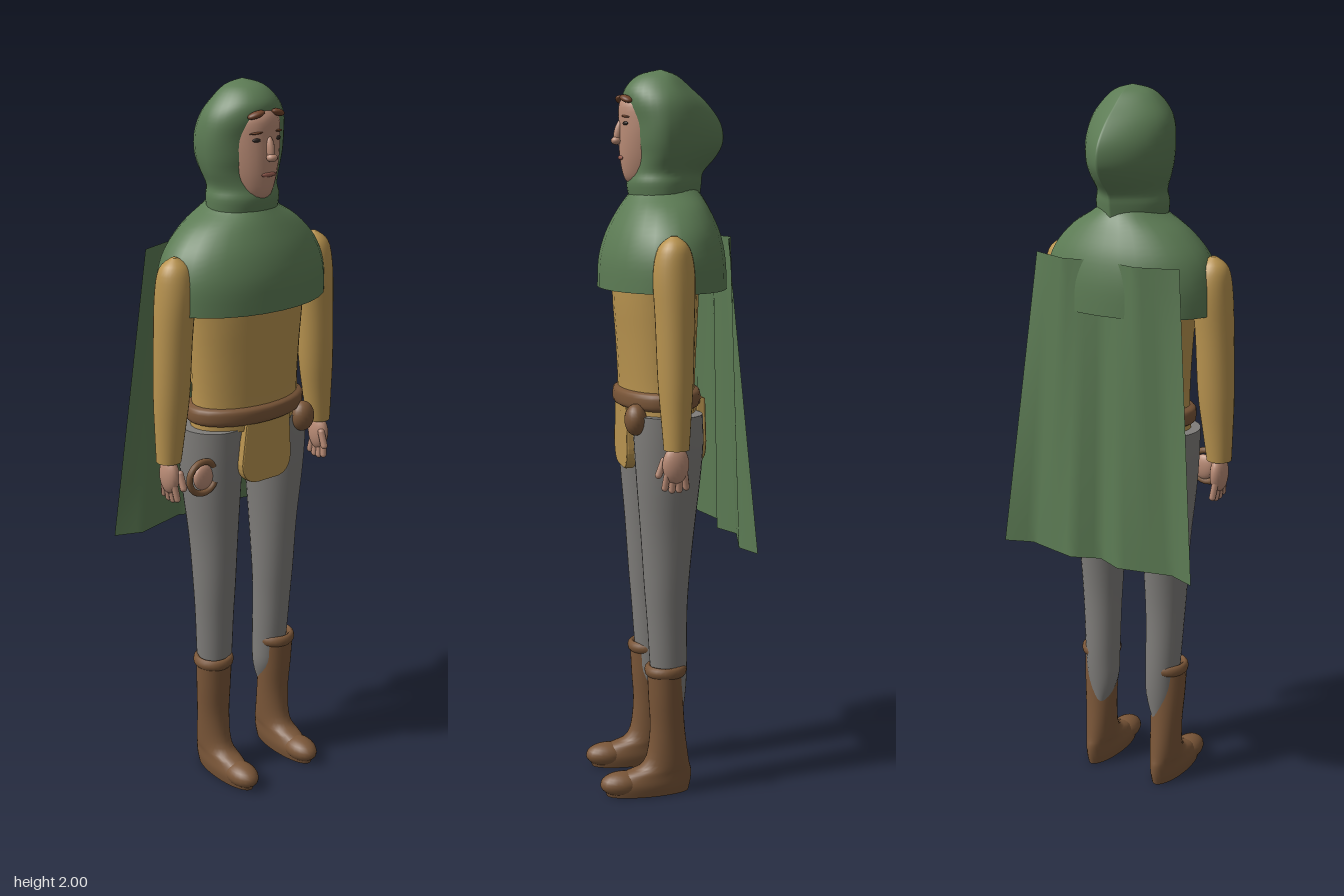
import * as THREE from 'three';

const mat = (name, color, side = THREE.FrontSide) => {
  const m = new THREE.MeshStandardMaterial({ color, side });
  m.name = name;
  return m;
};

// Smooth body lofted through sections [y, centreX, halfWidth, zFront, zBack], listed upward.
// pinch > 1 draws the back half to a ridge; zMid fixes where front and back halves meet.
function loft(sections, { segs = 28, sub = 4, pinch = 1, zMid = null, capBottom = true, capTop = true } = {}) {
  const cols = [0, 1, 2, 3, 4].map(c => new THREE.SplineCurve(sections.map((s, i) => new THREE.Vector2(i, s[c]))));
  const rows = (sections.length - 1) * sub;
  const pos = [], idx = [];
  const ring = r => {
    const [y, cx, rx, zf, zb] = cols.map(c => c.getPoint(r / rows).y);
    const zc = zMid === null ? (zf + zb) / 2 : zMid;
    for (let j = 0; j < segs; j++) {
      const a = j / segs * Math.PI * 2, c = Math.cos(a), s = Math.sin(a);
      const w = s < 0 ? Math.sign(c) * Math.pow(Math.abs(c), pinch) : c;
      pos.push(cx + rx * w, y, zc + (s > 0 ? (zf - zc) * s : (zc - zb) * s));
    }
    return [cx, y, zc];
  };
  for (let r = 0; r <= rows; r++) {
    ring(r);
    if (r === rows) break;
    for (let j = 0; j < segs; j++) {
      const a = r * segs + j, b = r * segs + (j + 1) % segs;
      idx.push(a, a + segs, b, b, a + segs, b + segs);
    }
  }
  const cap = (r, up) => {
    const start = pos.length / 3;
    pos.push(...ring(r));
    for (let j = 0; j < segs; j++) {
      const a = start + j, b = start + (j + 1) % segs;
      idx.push(start + segs, ...(up ? [b, a] : [a, b]));
    }
  };
  if (capBottom) cap(0, false);
  if (capTop) cap(rows, true);
  const g = new THREE.BufferGeometry();
  g.setAttribute('position', new THREE.Float32BufferAttribute(pos, 3));
  g.setIndex(idx);
  g.computeVertexNormals();
  return g;
}

export function createModel() {
  const green = mat('green cloth', 0x5c7b54, THREE.DoubleSide);
  const tan = mat('tan tunic', 0xb8934f);
  const grey = mat('grey trousers', 0x7f7d7a);
  const brown = mat('brown leather', 0x7a5638);
  const skin = mat('skin', 0xba8c76);
  const hair = mat('brow hair', 0x70432a);
  const dark = mat('dark eye', 0x2c2420);
  const lip = mat('lip', 0x9a5f52);

  const model = new THREE.Group();
  const add = (name, geo, material, p = [0, 0, 0], r = [0, 0, 0]) => {
    const m = new THREE.Mesh(geo, material);
    m.name = name;
    m.position.set(...p);
    m.rotation.set(...r);
    model.add(m);
    return m;
  };
  const ball = (name, material, p, s, r) =>
    add(name, new THREE.SphereGeometry(1, 20, 14), material, p, r).scale.set(...s);

  // Hood, pulled to a ridge at the back
  add('hood', loft([
    [1.66, 0, 0.1, 0.085, -0.11], [1.70, 0, 0.102, 0.092, -0.115], [1.73, 0, 0.097, 0.085, -0.12],
    [1.77, 0, 0.11, 0.08, -0.155], [1.81, 0, 0.119, 0.084, -0.175], [1.86, 0, 0.122, 0.088, -0.168],
    [1.91, 0, 0.114, 0.1, -0.132], [1.95, 0, 0.09, 0.096, -0.088], [1.985, 0, 0.052, 0.06, -0.045],
    [2.0, 0, 0.002, 0.002, -0.002],
  ], { segs: 36, pinch: 1.9, zMid: 0 }), green);

  // Face
  add('face', loft([
    [1.69, 0, 0.035, 0.07, -0.02], [1.71, 0, 0.056, 0.097, -0.03], [1.75, 0, 0.072, 0.109, -0.04],
    [1.80, 0, 0.082, 0.114, -0.04], [1.86, 0, 0.087, 0.114, -0.04], [1.91, 0, 0.08, 0.113, -0.04],
    [1.94, 0, 0.05, 0.092, -0.03],
  ], { zMid: 0 }), skin);
  ball('nose', skin, [0, 1.835, 0.115], [0.011, 0.034, 0.013], [-0.22, 0, 0]);
  ball('noseTip', skin, [0, 1.813, 0.122], [0.015, 0.011, 0.014]);
  ball('mouth', lip, [0, 1.768, 0.11], [0.024, 0.006, 0.005]);
  for (const s of [1, -1]) {
    ball('fringe', hair, [s * 0.036, 1.922, 0.102], [0.024, 0.009, 0.014], [0, s * 0.35, -s * 0.3]);
    ball('eyebrow', hair, [s * 0.037, 1.876, 0.104], [0.018, 0.003, 0.004], [0, s * 0.4, -s * 0.1]);
    ball('eye', dark, [s * 0.036, 1.858, 0.104], [0.011, 0.005, 0.004], [0, s * 0.4, 0]);
  }

  // Shoulder mantle, open at its hem
  add('shoulderMantle', loft([
    [1.42, 0, 0.256, 0.17, -0.175], [1.5, 0, 0.252, 0.166, -0.171], [1.57, 0, 0.226, 0.146, -0.157],
    [1.63, 0, 0.17, 0.115, -0.132], [1.67, 0, 0.105, 0.088, -0.11], [1.69, 0, 0.08, 0.072, -0.09],
  ], { capBottom: false }), green);

  // Hanging cloak: a folded sheet widening towards the hem
  const topFold = [-0.148, -0.156, -0.168, -0.15, -0.13], hemFold = [-0.165, -0.2, -0.183, -0.165, -0.196];
  const foldAt = (f, u) => {
    const k = Math.min(Math.abs(u) * 4, 3.999), i = Math.floor(k);
    return THREE.MathUtils.lerp(f[i], f[i + 1], k - i);
  };
  const cloak = new THREE.PlaneGeometry(2, 1, 32, 16);
  const cp = cloak.attributes.position;
  for (let i = 0; i < cp.count; i++) {
    const u = cp.getX(i), v = 0.5 - cp.getY(i);
    cp.setXYZ(i, u * (0.222 + 0.083 * v), 1.56 - 0.83 * v,
      THREE.MathUtils.lerp(foldAt(topFold, u), foldAt(hemFold, u), v));
  }
  cloak.computeVertexNormals();
  add('cloak', cloak, green);

  // Tunic, belt and pouch
  add('tunic', loft([
    [1.08, 0, 0.172, 0.115, -0.092], [1.16, 0, 0.166, 0.116, -0.09], [1.28, 0, 0.17, 0.122, -0.095],
    [1.4, 0, 0.178, 0.13, -0.1], [1.5, 0, 0.185, 0.125, -0.1], [1.58, 0, 0.14, 0.09, -0.08],
  ]), tan);
  add('belt', loft([
    [1.098, 0, 0.172, 0.118, -0.094], [1.108, 0, 0.184, 0.129, -0.104],
    [1.138, 0, 0.184, 0.129, -0.104], [1.148, 0, 0.168, 0.117, -0.092],
  ]), brown);
  ball('pouch', brown, [0.135, 1.076, 0.1], [0.035, 0.043, 0.03]);

  // Tunic flaps hanging between the legs, front and back
  const flap = new THREE.Shape();
  flap.moveTo(-0.07, 1.1);
  flap.lineTo(-0.085, 0.985);
  flap.quadraticCurveTo(-0.082, 0.93, -0.03, 0.928);
  flap.lineTo(0.04, 0.928);
  flap.quadraticCurveTo(0.08, 0.935, 0.08, 0.985);
  flap.lineTo(0.074, 1.1);
  const flapGeo = new THREE.ExtrudeGeometry(flap, {
    depth: 0.016, bevelThickness: 0.006, bevelSize: 0.004, bevelSegments: 2, curveSegments: 8,
  });
  add('frontFlap', flapGeo, tan, [0, 0, 0.092]);
  add('backFlap', flapGeo, tan, [0, 0.015, -0.088], [0, Math.PI, 0]);

  // Curved horn hung at the right hip
  add('horn', new THREE.TorusGeometry(0.045, 0.009, 10, 28, Math.PI * 1.65), brown, [-0.195, 0.967, 0.075], [0, 0, 0.6]);
  ball('hornMouth', skin, [-0.19, 0.965, 0.07], [0.032, 0.036, 0.014]);

  // Hips
  add('hips', loft([
    [0.93, 0, 0.05, 0.05, -0.05], [0.97, 0, 0.13, 0.085, -0.085],
    [1.03, 0, 0.185, 0.1, -0.095], [1.085, 0, 0.19, 0.105, -0.095],
  ]), grey);

  for (const s of [1, -1]) {
    const side = s > 0 ? 'left' : 'right';
    const limb = rows => loft(rows.map(([y, x, ...r]) => [y, s * x, ...r]));

    // Leg
    add(side + 'Leg', limb([
      [0.19, 0.1, 0.015, 0, -0.035], [0.27, 0.1, 0.044, 0.04, -0.046], [0.36, 0.103, 0.05, 0.052, -0.051],
      [0.5, 0.106, 0.055, 0.062, -0.05], [0.6, 0.107, 0.06, 0.07, -0.054], [0.75, 0.108, 0.067, 0.08, -0.068],
      [0.9, 0.112, 0.079, 0.092, -0.084], [1.0, 0.112, 0.086, 0.098, -0.092], [1.085, 0.11, 0.09, 0.1, -0.09],
    ]), grey);

    // Boot
    add(side + 'Boot', limb([
      [0, 0.112, 0.038, 0.18, -0.055], [0.03, 0.112, 0.043, 0.185, -0.062], [0.06, 0.112, 0.041, 0.14, -0.063],
      [0.09, 0.112, 0.042, 0.075, -0.056], [0.18, 0.113, 0.045, 0.056, -0.044],
      [0.28, 0.115, 0.05, 0.06, -0.037], [0.36, 0.116, 0.052, 0.064, -0.034],
    ]), brown);
    ball(side + 'Toe', brown, [s * 0.112, 0.034, 0.137], [0.041, 0.034, 0.062]);
    const cuff = add(side + 'Cuff', new THREE.TorusGeometry(0.048, 0.01, 10, 28), brown,
      [s * 0.115, 0.362, 0.012], [Math.PI / 2, 0, 0]);
    cuff.scale.set(1, 1.02, 1.6);

    // Sleeve
    add(side + 'Sleeve', limb([
      [1.015, 0.266, 0.034, 0.052, -0.016], [1.1, 0.26, 0.042, 0.058, -0.022], [1.2, 0.253, 0.05, 0.065, -0.029],
      [1.35, 0.246, 0.052, 0.07, -0.033], [1.47, 0.238, 0.053, 0.074, -0.036],
      [1.54, 0.237, 0.042, 0.06, -0.022], [1.57, 0.238, 0.008, 0.028, 0.01],
    ]), tan);

    // Hand
    ball(side + 'Palm', skin, [s * 0.266, 0.975, 0.02], [0.022, 0.052, 0.036]);
    for (let i = 0; i < 4; i++) {
      const z = -0.006 + i * 0.017;
      add(side + 'Finger', new THREE.CapsuleGeometry(0.0095, 0.045, 4, 8), skin,
        [s * 0.265, 0.926 + Math.abs(i - 1.5) * 0.006, z], [(1.5 - i) * 0.1, 0, -s * 0.12]);
    }
    add(side + 'Thumb', new THREE.CapsuleGeometry(0.01, 0.04, 4, 8), skin, [s * 0.252, 0.965, 0.056], [-0.35, 0, 0]);
  }
  return model;
}
